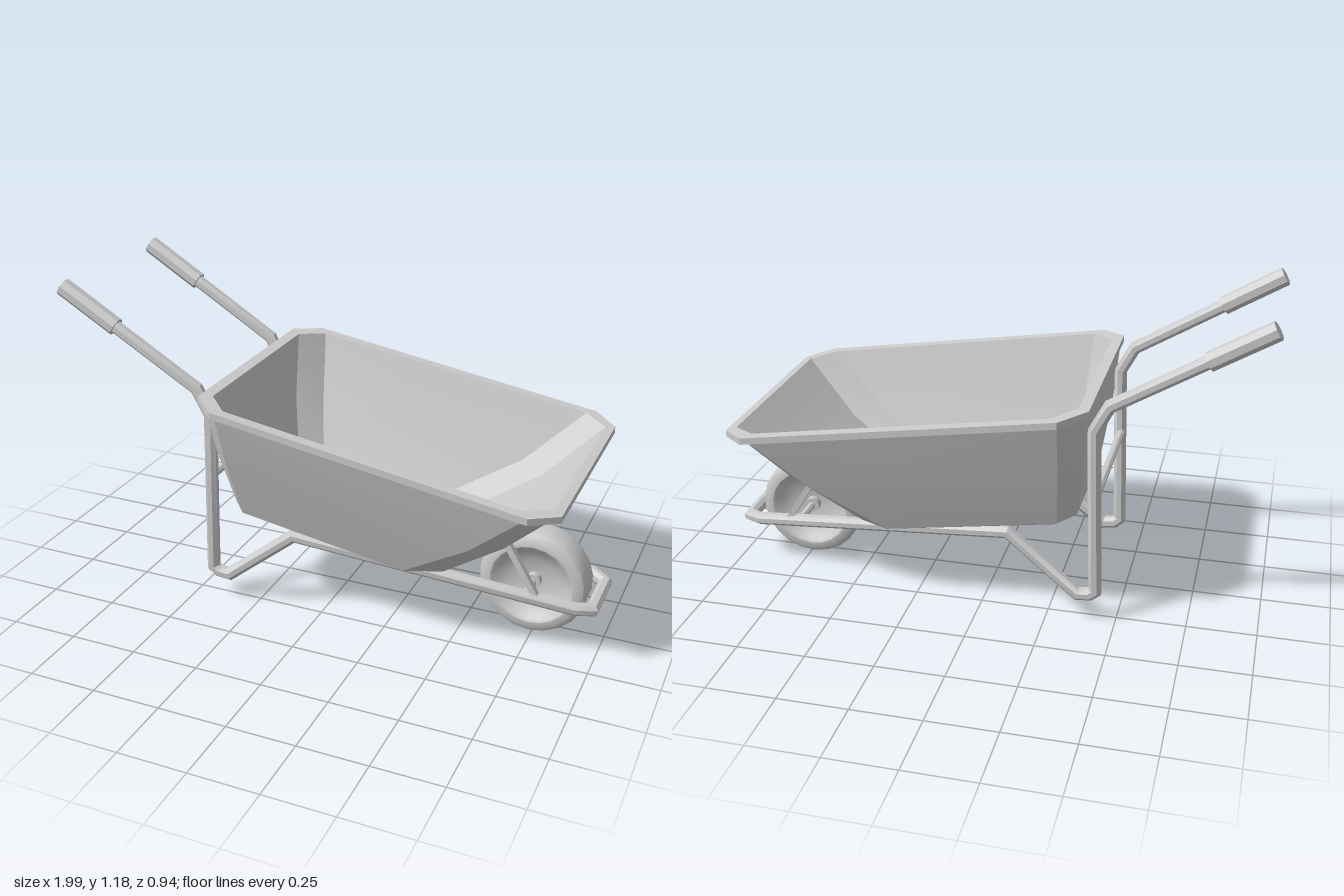
import * as THREE from 'three';
import { toCreasedNormals } from 'three/addons/utils/BufferGeometryUtils.js';

const material = new THREE.MeshStandardMaterial({ color: 0xcccccc });

// Skin a series of rings (arrays of Vector3), with both ends capped
function loft(rings, crease) {
  const n = rings[0].length, index = [];
  for (let i = 0; i < rings.length - 1; i++) {
    for (let j = 0; j < n; j++) {
      const a = i * n + j, b = i * n + (j + 1) % n;
      index.push(a, b, a + n, b, b + n, a + n);
    }
  }
  const last = (rings.length - 1) * n;
  for (let j = 1; j < n - 1; j++) {
    index.push(0, j + 1, j);
    index.push(last, last + j, last + j + 1);
  }
  const geometry = new THREE.BufferGeometry().setFromPoints(rings.flat());
  geometry.setIndex(index);
  return toCreasedNormals(geometry, crease);
}

// Pipe along straight runs with mitred corners
function pipe(points, radius, sides = 8) {
  const dirs = points.slice(1).map((p, i) => p.clone().sub(points[i]).normalize());
  const side = Math.abs(dirs[0].z) > 0.9 ? new THREE.Vector3(1, 0, 0) : new THREE.Vector3(0, 0, 1);
  const u = side.addScaledVector(dirs[0], -side.dot(dirs[0])).normalize();
  const v = dirs[0].clone().cross(u);
  let ring = [];
  for (let j = 0; j < sides; j++) {
    const a = (j + 0.5) / sides * Math.PI * 2;
    ring.push(points[0].clone().addScaledVector(u, radius * Math.cos(a)).addScaledVector(v, radius * Math.sin(a)));
  }
  const rings = [ring];
  for (let i = 1; i < points.length; i++) {
    const d = dirs[i - 1];
    const normal = d.clone().add(dirs[i] ?? d).normalize();
    ring = ring.map(p => {
      const t = points[i].clone().sub(p).dot(normal) / d.dot(normal);
      return p.clone().addScaledVector(d, t);
    });
    rings.push(ring);
  }
  return loft(rings, 0.5);
}

// Chamfered rectangle on a plane sloping down towards the wheel
function trayRing(h, xBack, xBackSide, xFrontSide, xFront, zBack, zSideBack, zSideFront, zFront) {
  const half = [[xBackSide, zSideBack], [xFrontSide, zSideFront], [xFront, zFront]];
  const outline = [
    ...half,
    [xFront, -zFront], [xFrontSide, -zSideFront], [xBackSide, -zSideBack],
    [xBack, -zBack], [xBack, zBack],
  ];
  return outline.map(([x, z]) => new THREE.Vector3(x, h - 0.155 * x, z));
}

export function createModel() {
  const model = new THREE.Group();
  const add = (name, geometry, parent = model) => {
    const mesh = new THREE.Mesh(geometry, material);
    mesh.name = name;
    parent.add(mesh);
    return mesh;
  };
  const V = (x, y, z) => new THREE.Vector3(x, y, z);
  const mirror = p => V(p.x, p.y, -p.z);

  // Tray: outside from the bottom up, over the lip, then down the inside
  add('tray', loft([
    trayRing(0.322, -0.315, -0.265, 0.31, 0.42, 0.21, 0.27, 0.27, 0.18),
    trayRing(0.342, -0.345, -0.285, 0.34, 0.46, 0.24, 0.305, 0.31, 0.23),
    trayRing(0.56, -0.377, -0.3, 0.60, 0.695, 0.31, 0.385, 0.39, 0.305),
    trayRing(0.77, -0.39, -0.305, 0.795, 0.875, 0.37, 0.45, 0.45, 0.37),
    trayRing(0.768, -0.4, -0.31, 0.81, 0.9, 0.385, 0.47, 0.47, 0.385),
    trayRing(0.792, -0.4, -0.31, 0.81, 0.9, 0.385, 0.47, 0.47, 0.385),
    trayRing(0.792, -0.36, -0.28, 0.78, 0.87, 0.35, 0.43, 0.43, 0.36),
    trayRing(0.56, -0.345, -0.26, 0.57, 0.665, 0.285, 0.36, 0.36, 0.285),
    trayRing(0.36, -0.305, -0.225, 0.30, 0.40, 0.215, 0.28, 0.285, 0.2),
  ], 0.45));

  // One bent pipe forms both handles, both legs and the front loop
  const halfFrame = [
    V(-0.95, 1.135, 0.302), V(-0.455, 0.84, 0.294), V(-0.405, 0.745, 0.294),
    V(-0.425, 0.125, 0.286), V(-0.405, 0.108, 0.284), V(-0.36, 0.103, 0.282),
    V(-0.10, 0.312, 0.268), V(0.91, 0.176, 0.138), V(0.968, 0.165, 0.1),
  ];
  add('frame', pipe([...halfFrame, ...halfFrame.map(mirror).reverse()], 0.024));
  add('rearCrossBar', pipe([V(-0.418, 0.5, -0.29), V(-0.418, 0.5, 0.29)], 0.015));

  for (const [side, s] of [['left', 1], ['right', -1]]) {
    // Grip on the end of the handle; sides are named facing the wheel-side view
    const grip = add(side === 'left' ? 'frontGrip' : 'backGrip',
      pipe([V(-0.98, 1.153, 0.302 * s), V(-0.77, 1.028, 0.299 * s)], 0.034));
    grip.userData.side = s;

    // Strut from the frame up to the sloping nose of the tray
    const from = V(0.785, 0.195, 0.155 * s), to = V(0.64, 0.435, 0.155 * s);
    const strut = add(s > 0 ? 'frontStrut' : 'backStrut', new THREE.BoxGeometry(0.022, from.distanceTo(to), 0.025));
    strut.position.copy(from).lerp(to, 0.5);
    strut.rotation.z = Math.atan2(from.x - to.x, to.y - from.y);
  }

  // Wheel: tyre and dished disc turned as one profile
  const wheel = new THREE.Group();
  wheel.name = 'wheel';
  wheel.position.set(0.74, 0.2, 0.012);
  wheel.rotation.x = Math.PI / 2;
  model.add(wheel);
  const halfProfile = [
    [0, 0.018], [0.03, 0.018], [0.08, 0.026], [0.125, 0.046], [0.142, 0.066],
    [0.152, 0.071], [0.172, 0.07], [0.189, 0.06], [0.197, 0.043],
  ];
  const profile = [
    ...halfProfile.map(([r, y]) => new THREE.Vector2(r, -y)),
    ...halfProfile.map(([r, y]) => new THREE.Vector2(r, y)).reverse(),
  ];
  add('tyreAndDisc', toCreasedNormals(new THREE.LatheGeometry(profile, 22), 0.5), wheel);
  add('hub', toCreasedNormals(new THREE.CylinderGeometry(0.028, 0.028, 0.09, 12), 0.6), wheel);
  add('axle', pipe([V(0.74, 0.2, -0.16), V(0.74, 0.2, 0.16)], 0.014));

  return model;
}
